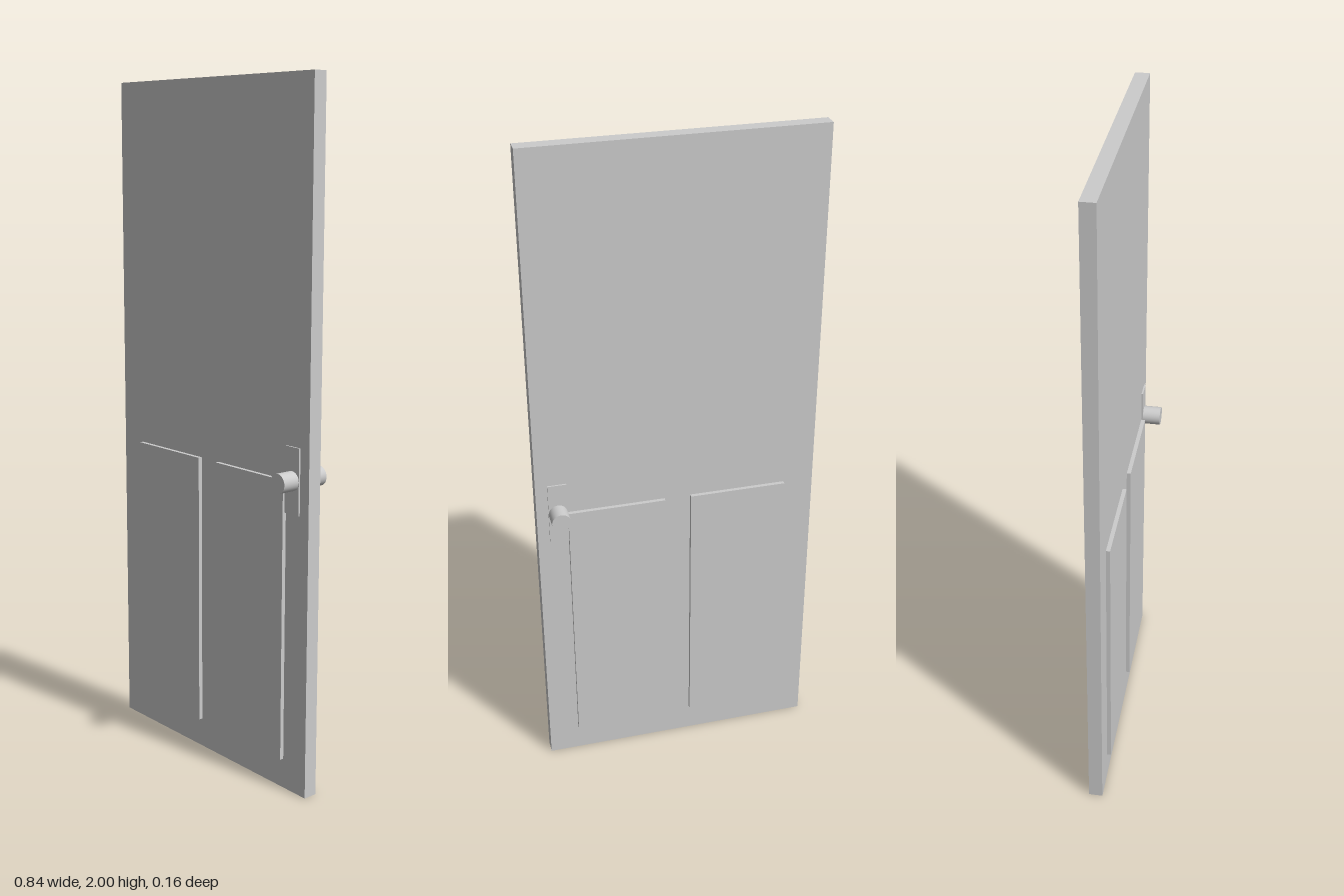
import * as THREE from 'three';

export function createModel() {
  const door = new THREE.Group();
  door.name = 'door';
  const grey = new THREE.MeshStandardMaterial({ color: 0xcccccc });
  grey.name = 'light grey';

  const add = (name, geometry, x, y, z) => {
    const mesh = new THREE.Mesh(geometry, grey);
    mesh.name = name;
    mesh.position.set(x, y, z);
    door.add(mesh);
    return mesh;
  };

  // Door slab
  add('slab', new THREE.BoxGeometry(0.84, 2, 0.042), 0, 1, 0);

  // Raised panels, handle plate and knob, the same on both faces
  for (const side of [1, -1]) {
    const face = side > 0 ? 'front' : 'back';
    for (const x of [-0.184, 0.184]) {
      const panel = new THREE.BoxGeometry(0.29, 0.823, 0.013);
      add(face + (x > 0 ? 'LeftPanel' : 'RightPanel'), panel, x, 0.5, side * 0.0265);
    }
    add(face + 'HandlePlate', new THREE.BoxGeometry(0.056, 0.19, 0.006), 0.357, 0.914, side * 0.023);
    const knob = new THREE.CylinderGeometry(0.028, 0.028, 0.055, 32);
    knob.rotateX(Math.PI / 2);
    add(face + 'Knob', knob, 0.357, 0.914, side * 0.0515);
  }
  return door;
}
